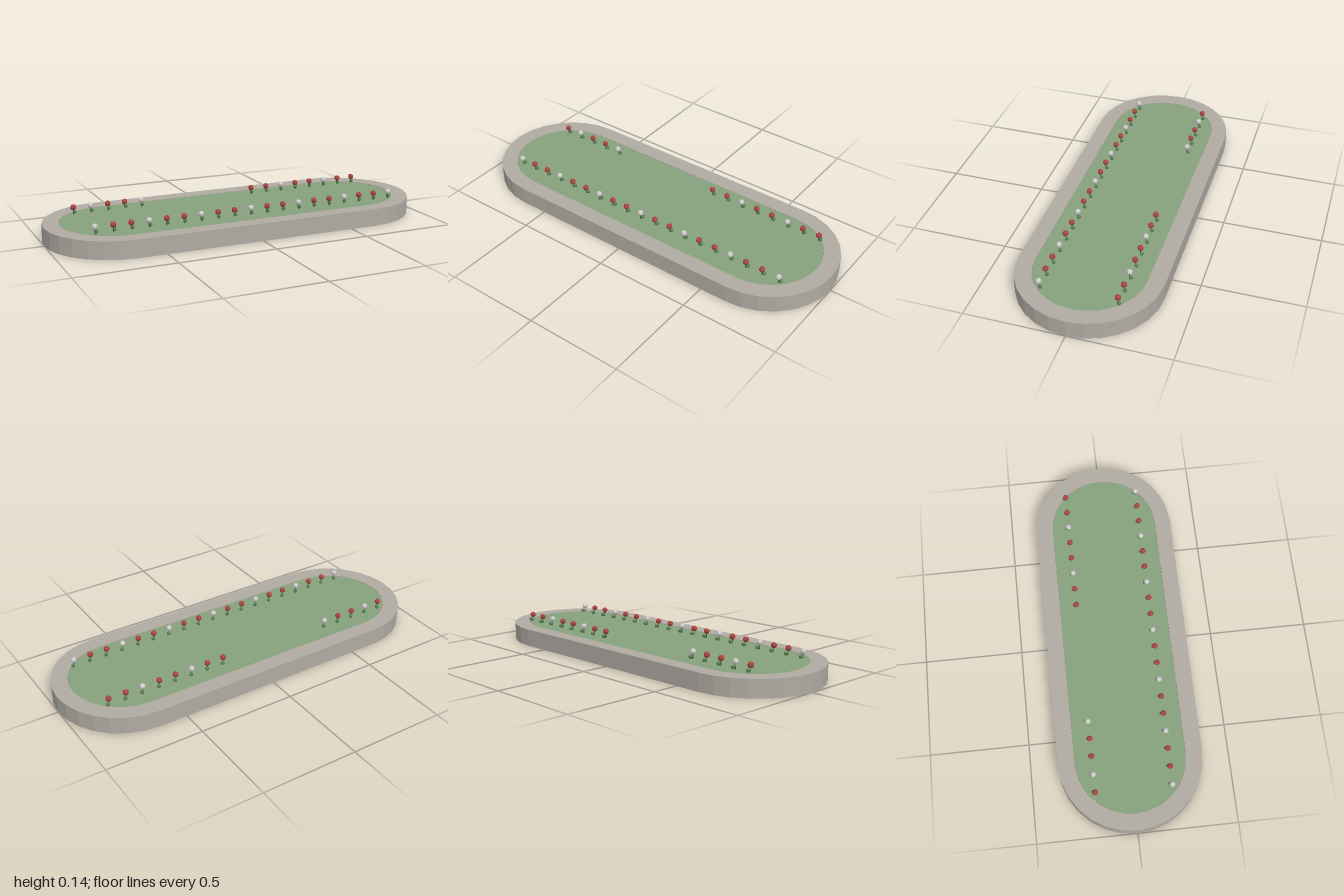
import * as THREE from 'three';

const mat = (name, color, extra = {}) => {
  const m = new THREE.MeshStandardMaterial({ color, ...extra });
  m.name = name;
  return m;
};

const HEIGHT = 0.09, HALF = 0.64, OUTER = 0.36, INNER = 0.277, ARC = 14;

// Stadium outline: two faceted half circles joined by straight sides
function outline(r) {
  const pts = [];
  for (const side of [1, -1]) {
    for (let i = 0; i <= ARC; i++) {
      const a = -Math.PI / 2 + (Math.PI * i) / ARC;
      pts.push(new THREE.Vector2(side * (HALF + r * Math.cos(a)), side * r * Math.sin(a)));
    }
  }
  return pts;
}

// Open-bottomed kerb: a profile of [radius, y] swept round the outline
function sweep(profile) {
  const pos = [];
  const rings = profile.map(([r, y]) => outline(r).map((p) => [p.x, y, p.y]));
  for (let k = 0; k < rings.length - 1; k++) {
    const n = rings[k].length;
    for (let i = 0; i < n; i++) {
      const j = (i + 1) % n;
      const a = rings[k][i], b = rings[k][j], c = rings[k + 1][j], d = rings[k + 1][i];
      pos.push(...a, ...d, ...c, ...a, ...c, ...b);
    }
  }
  const g = new THREE.BufferGeometry();
  g.setAttribute('position', new THREE.Float32BufferAttribute(pos, 3));
  g.computeVertexNormals();
  return g;
}

// Flat slab of stadium shape between two heights
function slab(r, y0, y1) {
  const g = new THREE.ExtrudeGeometry(new THREE.Shape(outline(r)), { depth: y1 - y0, bevelEnabled: false });
  return g.rotateX(-Math.PI / 2).translate(0, y0, 0);
}

export function createModel() {
  const root = new THREE.Group();
  root.name = 'flowerBed';

  const stone = mat('stone', 0xb0aba3, { side: THREE.DoubleSide });
  const soil = mat('soil', 0x6b5444);
  const grass = mat('grass', 0x86a17c);
  const leaf = mat('leaf', 0x5c8058);
  const stemGreen = mat('stem', 0x4a6546);
  const red = mat('redPetal', 0xac463e);
  const white = mat('whitePetal', 0xd2cecf);

  const add = (parent, name, geo, m, x = 0, y = 0, z = 0) => {
    const mesh = new THREE.Mesh(geo, m);
    mesh.name = name;
    mesh.position.set(x, y, z);
    parent.add(mesh);
  };

  // Kerb, earth and lawn
  add(root, 'kerb', sweep([[OUTER, 0], [OUTER, HEIGHT], [INNER, HEIGHT], [INNER, 0]]), stone);
  add(root, 'soil', slab(INNER - 0.001, 0, 0.082), soil);
  add(root, 'lawn', slab(INNER - 0.001, 0.082, 0.088), grass);

  // Flowers: a full front row and a back row with a gap in the middle
  const headGeo = new THREE.SphereGeometry(0.015, 8, 6);
  const leafGeo = new THREE.SphereGeometry(0.01, 8, 6);
  const stemGeo = new THREE.CylinderGeometry(0.002, 0.002, 0.036, 5);

  const flower = (x, z, petal) => {
    const g = new THREE.Group();
    g.name = 'flower';
    g.position.set(x, 0, z);
    add(g, 'stem', stemGeo, stemGreen, 0, 0.104, 0);
    add(g, 'bloom', headGeo, petal, 0, 0.125, 0);
    add(g, 'leaf', leafGeo, leaf, 0.008, 0.099, -0.008);
    root.add(g);
  };

  for (let i = 0; i < 19; i++) {
    const x = -0.8 + i * 0.09;
    flower(x, 0.19, i % 3 === 0 ? white : red);
    if (i < 5 || i > 10) flower(x, -0.19, i % 3 === 1 ? white : red);
  }
  return root;
}
